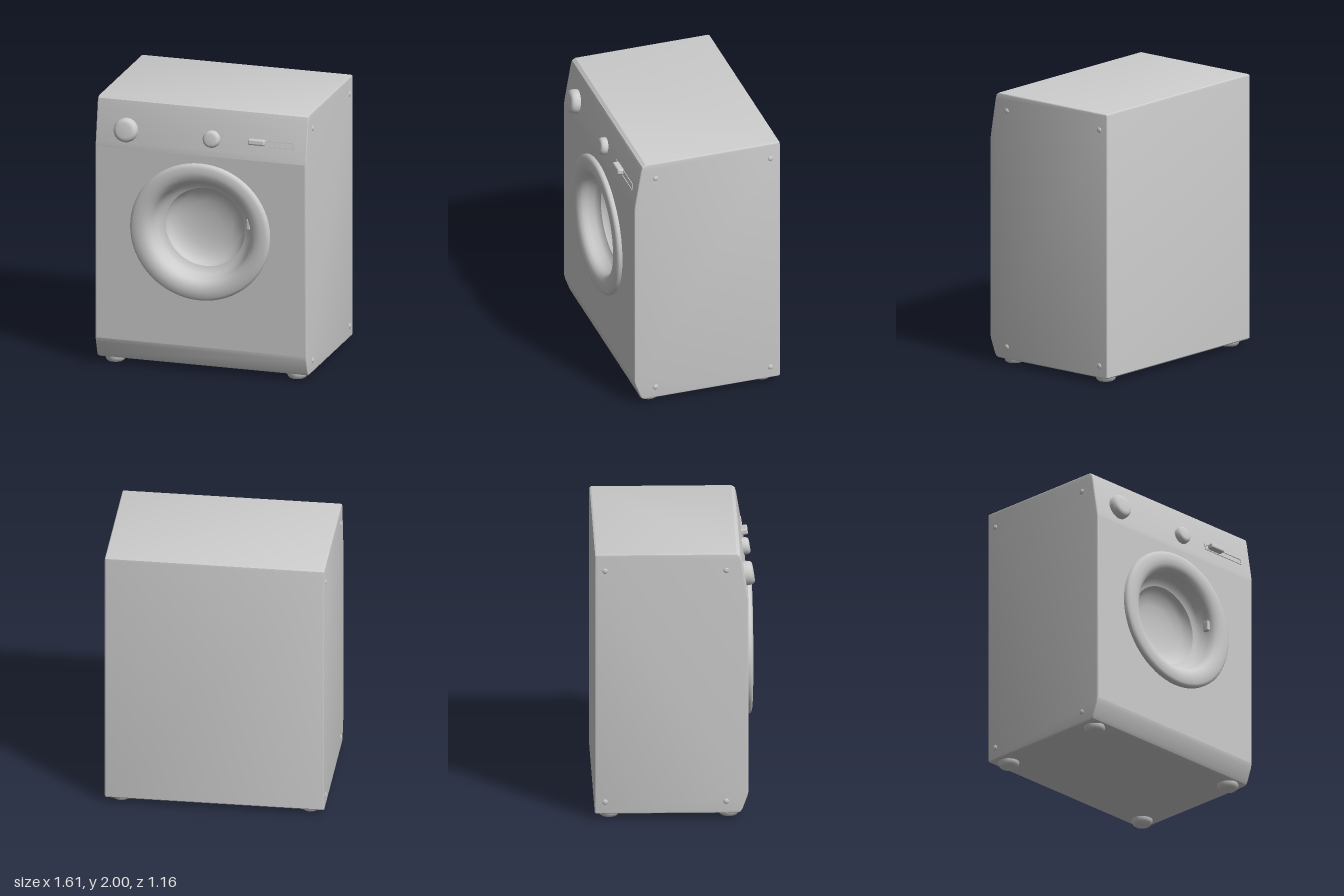
import * as THREE from 'three';
import { toCreasedNormals } from 'three/addons/utils/BufferGeometryUtils.js';
import { RoundedBoxGeometry } from 'three/addons/geometries/RoundedBoxGeometry.js';

const HALF_W = 0.795, FRONT = 0.53, BEVEL = 0.012;
const FLAT_LOW = 0.2, FLAT_HIGH = 1.64, DOOR_Y = 1.07;

export function createModel() {
  const model = new THREE.Group();
  model.name = 'washingMachine';
  const enamel = new THREE.MeshStandardMaterial({ color: 0xcccccc, side: THREE.DoubleSide });
  enamel.name = 'light grey enamel';

  const add = (name, geometry, x = 0, y = 0, z = 0, parent = model) => {
    const mesh = new THREE.Mesh(geometry, enamel);
    mesh.name = name;
    mesh.position.set(x, y, z);
    parent.add(mesh);
    return mesh;
  };
  // Turned part whose profile is [radius, height along the axis]
  const turned = (profile, sides, crease = 0.7) => toCreasedNormals(
    new THREE.LatheGeometry(profile.map(([r, h]) => new THREE.Vector2(r, h)), sides), crease);

  // Cabinet: side profile (z, y) extruded across the width
  const profile = [
    [-0.565, 0.04], [0.455, 0.04], [0.475, 0.05], [0.487, 0.07], [0.522, 0.165],
    [FRONT, FLAT_LOW], [FRONT, FLAT_HIGH], [0.525, 0.01 + FLAT_HIGH + 0.03],
    [0.479, 1.955], [0.47, 1.985], [0.445, 2], [-0.56, 2], [-0.572, 1.994],
    [-0.575, 1.98], [-0.575, 0.05],
  ];
  const shape = new THREE.Shape(profile.map(([z, y]) => new THREE.Vector2(z, y)));
  const depth = 2 * (HALF_W - BEVEL);
  const solid = new THREE.ExtrudeGeometry(shape, {
    depth, bevelSize: BEVEL, bevelThickness: BEVEL, bevelOffset: -BEVEL, bevelSegments: 3,
  });
  solid.translate(0, 0, -depth / 2).rotateY(-Math.PI / 2);
  // Leave the flat front open so the door can be recessed
  const p = solid.attributes.position, kept = [];
  for (let i = 0; i < p.count; i += 3) {
    if ([0, 1, 2].every(k => p.getZ(i + k) > FRONT - 1e-4)) continue;
    for (let k = 0; k < 3; k++) kept.push(p.getX(i + k), p.getY(i + k), p.getZ(i + k));
  }
  const shell = new THREE.BufferGeometry();
  shell.setAttribute('position', new THREE.Float32BufferAttribute(kept, 3));
  add('cabinet', toCreasedNormals(shell, 0.5));

  // Front panel with the door opening
  const w = HALF_W - BEVEL;
  const panel = new THREE.Shape([[-w, FLAT_LOW], [w, FLAT_LOW], [w, FLAT_HIGH], [-w, FLAT_HIGH]]
    .map(([x, y]) => new THREE.Vector2(x, y)));
  panel.holes.push(new THREE.Path().absarc(0, DOOR_Y, 0.42, 0, Math.PI * 2, true));
  add('frontPanel', new THREE.ShapeGeometry(panel, 48), 0, 0, FRONT);

  // Door ring and hollow glass bowl
  const ring = [
    [0.525, 0.525], [0.525, 0.55], [0.517, 0.562], [0.5, 0.569], [0.46, 0.573], [0.425, 0.568],
    [0.395, 0.553], [0.378, 0.53], [0.37, 0.5], [0.35, 0.45], [0.325, 0.425], [0.3, 0.415],
  ];
  const bowl = [[0.3, 0.415], [0.285, 0.385], [0.25, 0.355], [0.18, 0.33], [0.09, 0.32], [0, 0.317]];
  add('doorRing', turned(ring, 64).rotateX(Math.PI / 2), 0, DOOR_Y).scale.y = 0.975;
  add('doorGlass', turned(bowl, 64).rotateX(Math.PI / 2), 0, DOOR_Y).scale.y = 0.975;
  add('doorLatch', new RoundedBoxGeometry(0.03, 0.08, 0.05, 2, 0.01), 0.355, 1.15, 0.5);

  // Controls sit on the sloping fascia
  const fascia = new THREE.Group();
  fascia.name = 'controls';
  fascia.position.set(0, 1.78, 0.506);
  fascia.rotation.x = -0.16;
  model.add(fascia);
  const knob = (name, r, h, x, y) => add(name, turned([
    [r, -0.02], [r, h * 0.4], [r * 0.94, h * 0.75], [r * 0.8, h * 0.95], [r * 0.6, h], [0, h],
  ], 32).rotateX(Math.PI / 2), x, y, 0, fascia);
  knob('programmeDial', 0.088, 0.066, -0.565, -0.005);
  knob('temperatureDial', 0.063, 0.052, 0.08, -0.012);

  // Drawer slot outline and its pull
  const slot = new THREE.Shape([[0.325, -0.035], [0.695, -0.035], [0.695, 0.013], [0.325, 0.013]]
    .map(([x, y]) => new THREE.Vector2(x, y)));
  slot.holes.push(new THREE.Path([[0.335, -0.027], [0.335, 0.005], [0.687, 0.005], [0.687, -0.027]]
    .map(([x, y]) => new THREE.Vector2(x, y))));
  add('drawerSlot', new THREE.ExtrudeGeometry(slot, { depth: 0.008, bevelEnabled: false }), 0, 0, 0, fascia);
  add('drawerPull', new RoundedBoxGeometry(0.125, 0.042, 0.06, 3, 0.012), 0.423, -0.003, 0.017, fascia);

  // Feet and side screws
  const foot = [[0, 0], [0.055, 0], [0.066, 0.008], [0.076, 0.03], [0.076, 0.05]];
  for (const side of [-1, 1]) {
    for (const z of [0.39, -0.47]) add('foot', turned(foot, 24), side * 0.685, 0, z);
    for (const y of [0.13, 1.875]) for (const z of [0.37, -0.5]) {
      add('sideScrew', new THREE.SphereGeometry(0.02, 12, 8), side * HALF_W, y, z).scale.x = 0.4;
    }
  }
  return model;
}
